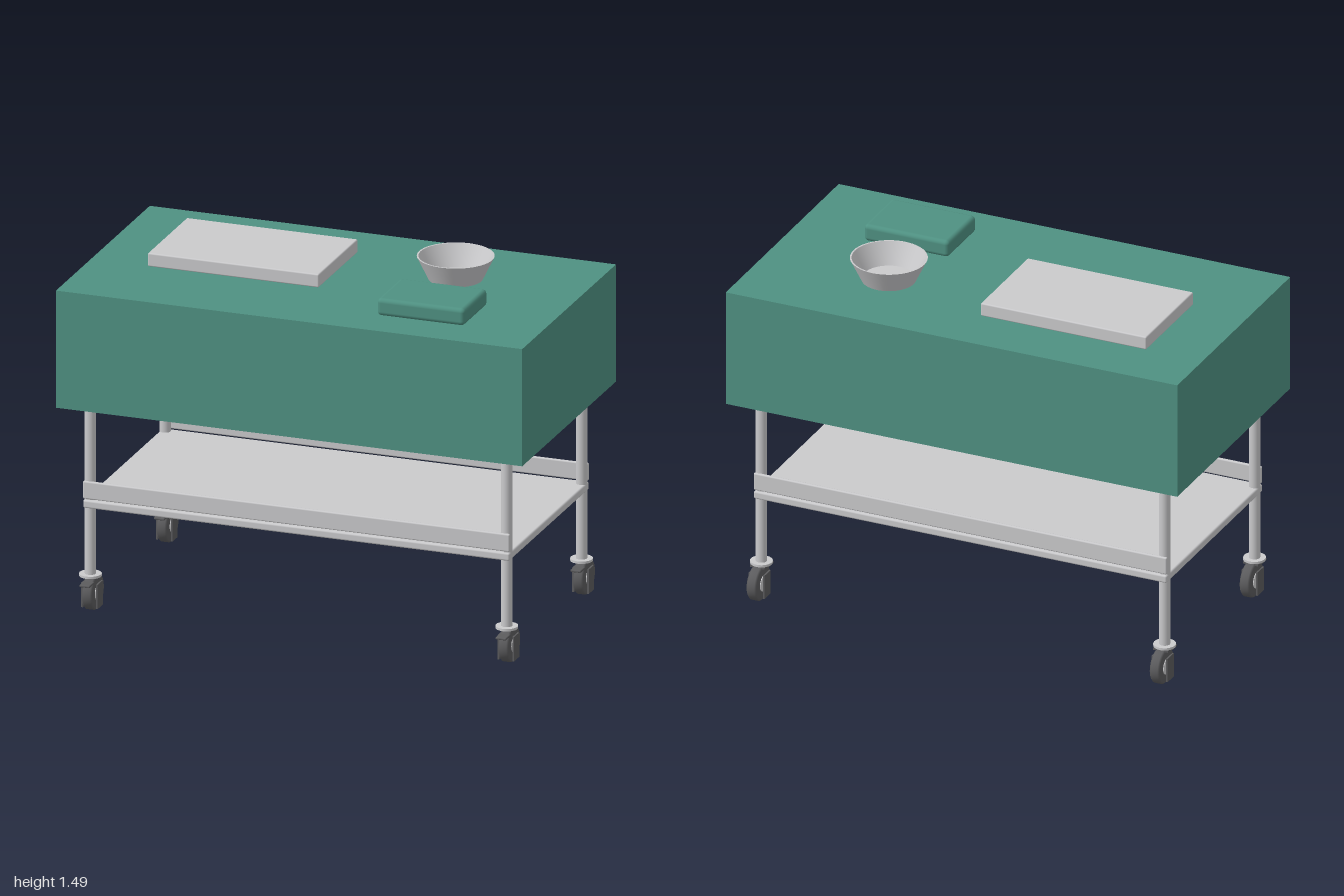
import * as THREE from 'three';
import { RoundedBoxGeometry } from 'three/addons/geometries/RoundedBoxGeometry.js';

export function createModel() {
  const root = new THREE.Group();
  root.name = 'drapedInstrumentTable';

  const mat = (name, color) => {
    const m = new THREE.MeshStandardMaterial({ color });
    m.name = name;
    return m;
  };
  const cloth = mat('green cloth', 0x4f9182);
  const steel = mat('light steel', 0xcacacc);
  const rubber = mat('dark rubber', 0x5c5c5e);

  const add = (parent, name, geometry, material, x = 0, y = 0, z = 0) => {
    const mesh = new THREE.Mesh(geometry, material);
    mesh.name = name;
    mesh.position.set(x, y, z);
    parent.add(mesh);
    return mesh;
  };
  const box = (w, h, d) => new THREE.BoxGeometry(w, h, d);
  const round = (w, h, d, r) => new RoundedBoxGeometry(w, h, d, 3, r);
  const rod = (r, h) => new THREE.CylinderGeometry(r, r, h, 32);

  // Cloth drape: a top sheet and four hanging sides, open below
  const drape = new THREE.Group();
  drape.name = 'drape';
  root.add(drape);
  add(drape, 'drapeTop', box(2, 0.01, 1.08), cloth, 0, 1.385, 0);
  for (const s of [-1, 1]) {
    add(drape, 'drapeLongSide', box(2, 0.49, 0.008), cloth, 0, 1.135, s * 0.536);
    add(drape, 'drapeShortSide', box(0.008, 0.49, 1.064), cloth, s * 0.996, 1.135, 0);
  }

  // Table top under the drape, lower shelf and its guard rails
  add(root, 'tableTop', round(1.9, 0.05, 0.93, 0.012), steel, 0, 1.352, 0);
  add(root, 'lowerShelf', round(1.83, 0.034, 0.92, 0.008), steel, 0, 0.463, 0);
  for (const s of [-1, 1]) {
    add(root, 'shelfRail', round(1.83, 0.075, 0.015, 0.006), steel, 0, 0.523, s * 0.453);
  }

  // Swivel caster, trailing towards the back, with a brake pedal in front
  const makeCaster = () => {
    const g = new THREE.Group();
    g.name = 'caster';
    add(g, 'mountingDisc', rod(0.046, 0.01), steel, 0, 0.156, 0);
    add(g, 'forkCrown', box(0.066, 0.008, 0.05), rubber, 0, 0.147, -0.015);
    const profile = [[0.03, -0.022], [0.068, -0.022], [0.075, -0.015], [0.075, 0.015],
      [0.068, 0.022], [0.03, 0.022]].map(([r, y]) => new THREE.Vector2(r, y));
    const points = [new THREE.Vector2(0, -0.022), ...profile, new THREE.Vector2(0, 0.022)];
    add(g, 'wheel', new THREE.LatheGeometry(points, 40), rubber, 0, 0.0755, -0.027).rotation.z = Math.PI / 2;
    add(g, 'hub', rod(0.035, 0.05), steel, 0, 0.0755, -0.027).rotation.z = Math.PI / 2;
    for (const s of [-1, 1]) {
      add(g, 'forkArm', box(0.007, 0.104, 0.06), rubber, s * 0.032, 0.067, -0.018);
    }
    add(g, 'brakePedal', round(0.045, 0.01, 0.06, 0.004), rubber, 0, 0.126, 0.041);
    return g;
  };

  // Legs and casters at the four corners
  for (const x of [-0.893, 0.893]) {
    for (const z of [-0.43, 0.43]) {
      add(root, 'leg', rod(0.023, 1.18), steel, x, 0.75, z);
      const caster = makeCaster();
      caster.position.set(x, 0, z);
      root.add(caster);
    }
  }

  // Instrument tray and folded cloth pack
  add(root, 'tray', round(0.734, 0.057, 0.452, 0.006), steel, -0.387, 1.4205, -0.08);
  add(root, 'clothPack', round(0.376, 0.073, 0.27, 0.018), cloth, 0.503, 1.4295, 0.244);

  // Flared bowl; repeated corner points keep the edges sharp
  const bowlProfile = [[0, 0], [0.11, 0], [0.11, 0], [0.157, 0.097], [0.157, 0.097],
    [0.15, 0.097], [0.15, 0.097], [0.106, 0.008], [0.106, 0.008], [0, 0.008]];
  const bowl = new THREE.Group();
  bowl.name = 'bowl';
  bowl.position.set(0.455, 1.391, -0.157);
  root.add(bowl);
  for (let i = 0; i < bowlProfile.length; i += 2) {
    const segment = bowlProfile.slice(i, i + 2).map(([r, y]) => new THREE.Vector2(r, y));
    add(bowl, 'bowlSurface', new THREE.LatheGeometry(segment, 48), steel);
  }

  return root;
}
